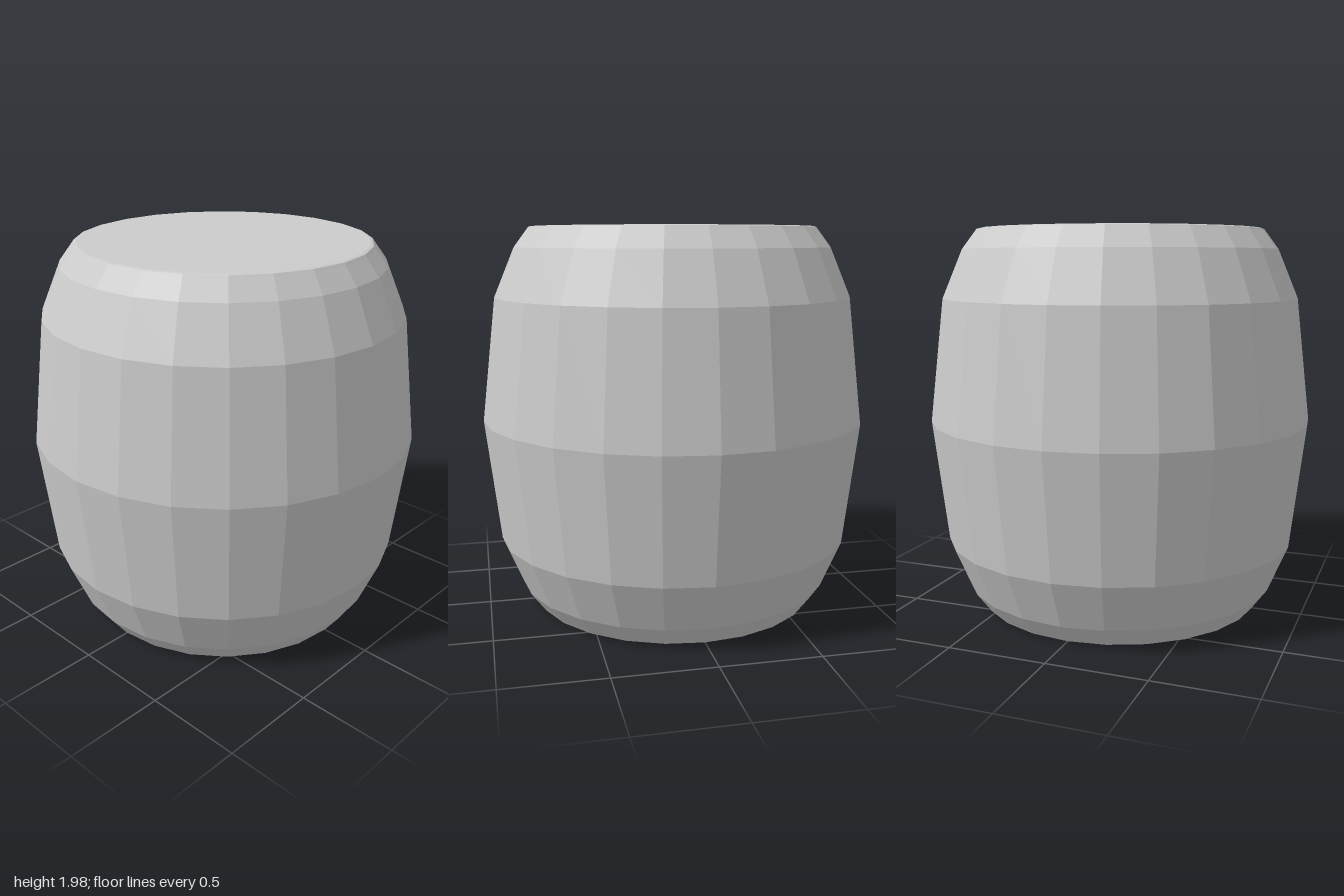
import * as THREE from 'three';

export function createModel() {
  const group = new THREE.Group();
  group.name = 'barrel';
  const height = 1.98;

  // Lower half profile [radius, y]: base cap, small rim bevel, bulging staves
  const half = [
    [0, 0], [0.73, 0], [0.745, 0.004], [0.755, 0.018],
    [0.82, 0.105], [0.925, 0.355],
  ];
  // Mirror the lower half about the widest ring
  const upper = half.map(([r, y]) => [r, height - y]).reverse();
  const profile = [...half, [1, height / 2], ...upper]
    .map(([r, y]) => new THREE.Vector2(r, y));

  // Faceted barrel body, closed at both ends
  const body = new THREE.Mesh(
    new THREE.LatheGeometry(profile, 24),
    new THREE.MeshStandardMaterial({ color: 0xcccccc, flatShading: true })
  );
  body.name = 'barrelBody';
  group.add(body);

  return group;
}
